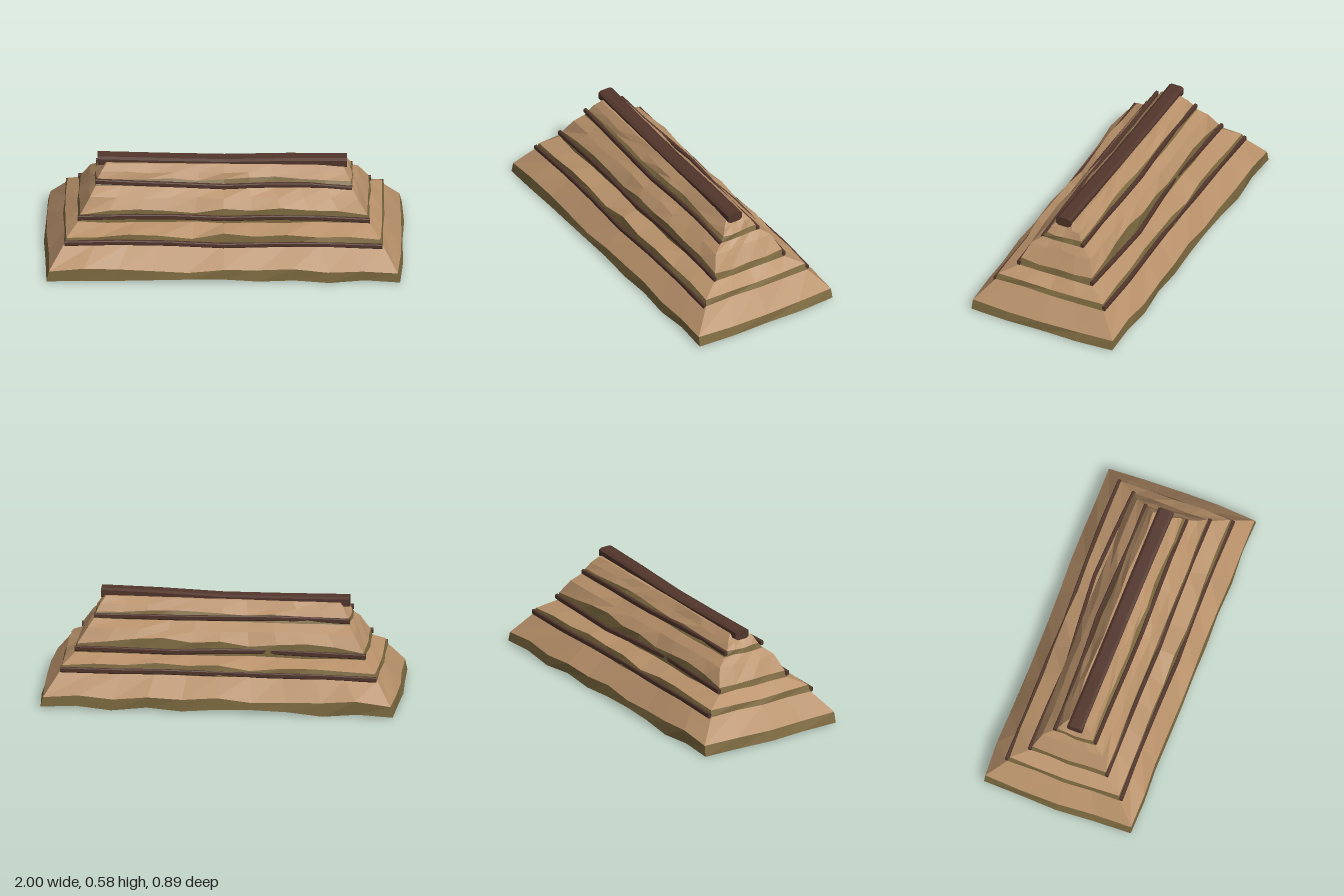
import * as THREE from 'three';

const mat = (color) => new THREE.MeshStandardMaterial({ color, flatShading: true, roughness: 0.9, side: THREE.DoubleSide });

// small seeded noise in -1..1
let seed = 7;
const noise = () => {
  seed = (seed * 16807) % 2147483647;
  return (seed / 2147483647) * 2 - 1;
};

const LONG = 10, SHORT = 4;
const FLAT = new Array(LONG + 1).fill(0);

// uneven rectangular ring, counterclockwise seen from above, starting front left;
// wave lifts the long sides, bulge pushes out the middle of the short sides
function ring([hx, hz, y], { wave = FLAT, wobble = 0.005, bulge = 0 } = {}) {
  const corners = [[-hx, hz], [hx, hz], [hx, -hz], [-hx, -hz]];
  const pts = [];
  corners.forEach(([ax, az], s) => {
    const [bx, bz] = corners[(s + 1) % 4];
    const end = s % 2 === 1, n = end ? SHORT : LONG;
    for (let i = 0; i < n; i++) {
      const t = i / n;
      const x = ax + (bx - ax) * t, z = az + (bz - az) * t;
      const lift = end ? (i ? 0 : wave[s === 1 ? LONG : 0]) : wave[s ? LONG - i : i];
      const push = i ? noise() * 0.007 + (end ? bulge * Math.sin(Math.PI * t) : 0) : 0;
      pts.push(new THREE.Vector3(
        x + (end ? Math.sign(ax) * push : 0),
        y + lift + noise() * wobble * (i ? 1 : 0.3),
        z + (end ? 0 : Math.sign(az) * push)));
    }
  });
  return pts;
}

// skin consecutive loops of points; caps close the ends with fans around a point
function loft(rings, startApex, endApex) {
  const pos = [], idx = [], n = rings[0].length;
  rings.forEach((r) => r.forEach((p) => pos.push(p.x, p.y, p.z)));
  for (let k = 0; k < rings.length - 1; k++) {
    for (let i = 0; i < n; i++) {
      const a = k * n + i, b = k * n + (i + 1) % n;
      idx.push(a, b, b + n, a, b + n, a + n);
    }
  }
  const cap = (k, apex, flip) => {
    const ci = pos.length / 3;
    pos.push(...apex);
    for (let i = 0; i < n; i++) {
      const a = k * n + i, b = k * n + (i + 1) % n;
      idx.push(...(flip ? [ci, b, a] : [ci, a, b]));
    }
  };
  if (startApex) cap(0, startApex, true);
  if (endApex) cap(rings.length - 1, endApex, false);
  const g = new THREE.BufferGeometry();
  g.setAttribute('position', new THREE.Float32BufferAttribute(pos, 3));
  g.setIndex(idx);
  g.computeVertexNormals();
  return g;
}

// chamfered timber running along x through [x, y, z] points
function beam(points, w, h) {
  const c = 0.35;
  const section = [[-1 + c, -1], [1 - c, -1], [1, -1 + c], [1, 1 - c], [1 - c, 1], [-1 + c, 1], [-1, 1 - c], [-1, -1 + c]];
  const rings = points.map(([x, y, z]) => section.map(([a, b]) =>
    new THREE.Vector3(x, y + b * h / 2, z + a * w / 2)));
  return loft(rings, points[0], points[points.length - 1]);
}

export function createModel() {
  seed = 7;
  const group = new THREE.Group();
  const straw = mat(0xb8916a), edge = mat(0x7d6a40), wood = mat(0x52362c);
  const add = (name, geo, m) => {
    const mesh = new THREE.Mesh(geo, m);
    mesh.name = name;
    group.add(mesh);
  };

  // thatch tiers: edge bottom, edge top, optional mid slope as [halfX, halfZ, y]
  const tiers = [
    { low: [0.985, 0.437, 0.012], high: [0.972, 0.434, 0.068], bulge: 0.013,
      lowWave: [-0.004, 0.006, -0.004, 0.008, 0.011, 0.012, -0.001, 0.009, -0.006, 0.008, 0],
      highWave: [0, 0.024, 0.015, 0.007, -0.002, 0.016, 0.01, 0.021, 0.003, 0.012, 0] },
    { low: [0.888, 0.334, 0.188], high: [0.875, 0.325, 0.222], bulge: 0.004,
      highWave: [0, 0.008, 0.023, 0.014, 0.001, 0.028, 0.018, 0.026, 0.009, 0.014, 0] },
    { low: [0.81, 0.228, 0.272], high: [0.8, 0.219, 0.308], mid: [0.745, 0.18, 0.4], bulge: 0.004,
      highWave: [0, 0.03, 0.04, 0.03, 0.016, 0.045, 0.033, 0.05, 0.042, 0.03, 0.008] },
    { low: [0.715, 0.127, 0.44], high: [0.705, 0.105, 0.47], mid: [0.685, 0.084, 0.508], bulge: 0.004,
      highWave: [0, 0.006, 0.004, 0.012, 0.002, 0.008, 0.018, 0.02, 0.012, 0.006, 0] },
  ];
  const built = tiers.map(({ low, high, mid, lowWave, highWave, bulge }) => ({
    low: ring(low, { wave: lowWave, bulge }),
    high: ring(high, { wave: highWave, bulge }),
    mid: mid && ring(mid),
  }));
  const crown = ring([0.655, 0.052, 0.545], { wobble: 0.002 });

  built.forEach((t, i) => {
    const slope = [t.high, ...(t.mid ? [t.mid] : []), i < 3 ? built[i + 1].low : crown];
    add('thatchEdge' + (i + 1), loft([t.low, t.high]), edge);
    add('thatchSlope' + (i + 1), loft(slope, null, i === 3 ? [0, 0.545, 0] : null), straw);
  });

  // hollow underside rising to a point
  add('underside', loft([built[0].low], [0, 0.135, 0]), straw);

  // binding poles along front and back at each tier, [y, z] at even steps in x
  const poles = [
    { hx: 0.885,
      front: [[0.197, 0.34], [0.202, 0.334], [0.2, 0.337], [0.19, 0.343], [0.195, 0.335], [0.193, 0.333], [0.188, 0.34]],
      back: [[0.195, -0.34], [0.2, -0.334], [0.2, -0.334], [0.2, -0.327], [0.205, -0.336], [0.202, -0.343], [0.2, -0.335]] },
    { hx: 0.815,
      front: [[0.297, 0.228], [0.306, 0.228], [0.308, 0.23], [0.3, 0.234], [0.306, 0.228], [0.302, 0.225], [0.288, 0.228]],
      back: [[0.292, -0.23], [0.296, -0.224], [0.3, -0.212], [0.302, -0.235], [0.296, -0.255], [0.296, -0.243], [0.292, -0.226]] },
    { hx: 0.715,
      front: [[0.47, 0.122], [0.46, 0.124], [0.455, 0.13], [0.446, 0.132], [0.456, 0.128], [0.455, 0.124], [0.435, 0.127]],
      back: [[0.46, -0.118], [0.462, -0.113], [0.466, -0.122], [0.462, -0.133], [0.455, -0.125], [0.452, -0.115], [0.45, -0.116]] },
  ];
  poles.forEach(({ hx, front, back }, i) => {
    for (const [side, path] of [['front', front], ['back', back]]) {
      const pts = path.map(([y, z], k) => [hx * (k / 3 - 1), y, z]);
      add(side + 'Pole' + (i + 1), beam(pts, 0.02, 0.028), wood);
    }
  });

  // heavy sagging ridge timber
  add('ridgeBeam', beam([[-0.705, 0.546, -0.004], [-0.35, 0.54, 0], [0, 0.537, 0.004],
    [0.35, 0.549, 0.009], [0.685, 0.554, 0.015]], 0.088, 0.056), wood);

  return group;
}
